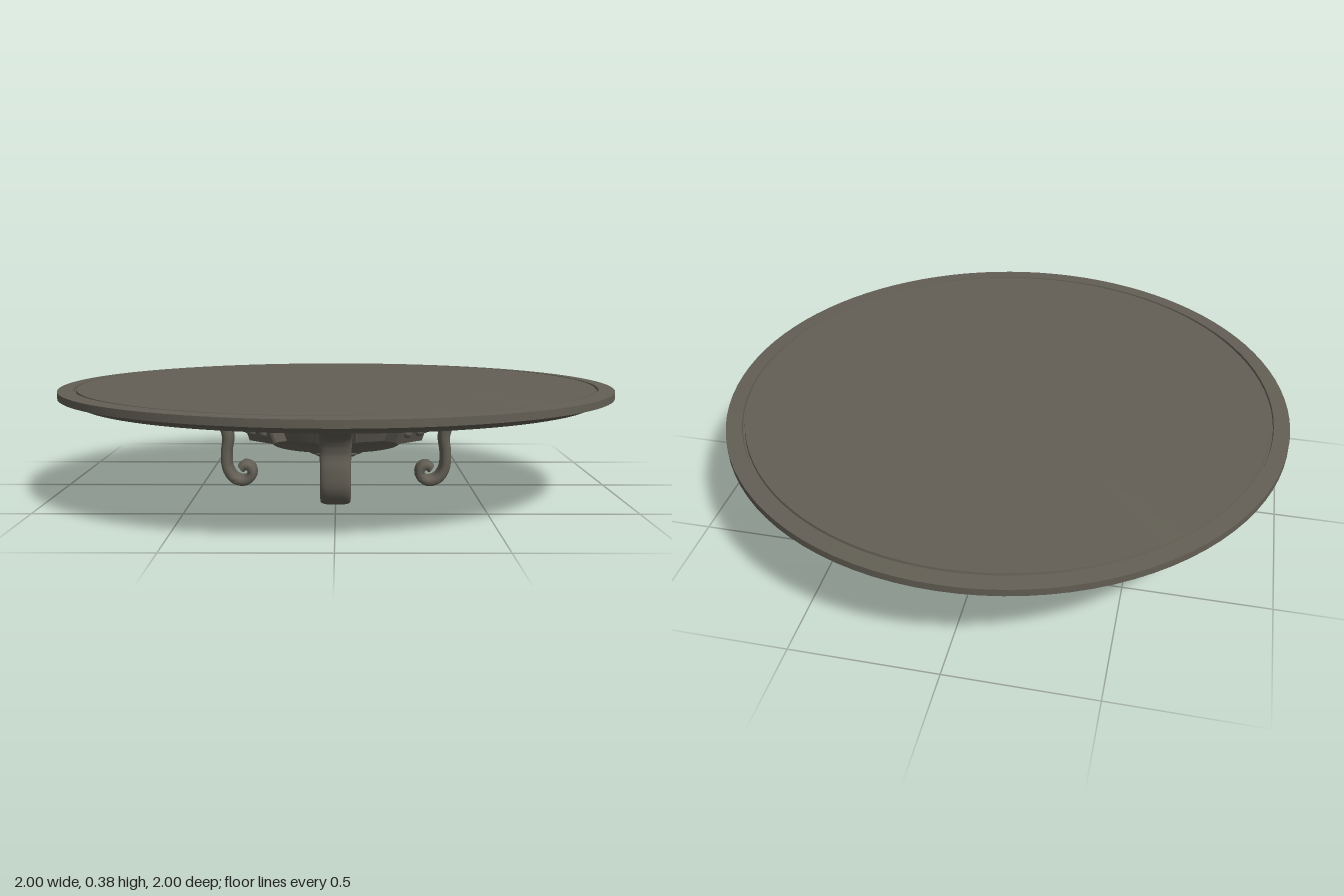
import * as THREE from 'three';
import { toCreasedNormals } from 'three/addons/utils/BufferGeometryUtils.js';

const V2 = (p) => new THREE.Vector2(p[0], p[1]);

// Revolved profile, listed from the underside up
function lathe(points, segments) {
  return toCreasedNormals(new THREE.LatheGeometry(points.map(V2), segments), 0.4);
}

// Side profile extruded to a centred width, with a small bevel
function slab(points, width, bevel) {
  const geo = new THREE.ExtrudeGeometry(new THREE.Shape(points.map(V2)), {
    depth: width - 2 * bevel, bevelEnabled: true, bevelSize: bevel, bevelOffset: -bevel,
    bevelThickness: bevel, bevelSegments: 1,
  });
  return geo.translate(0, 0, -width / 2 + bevel);
}

// Rounded strap swept along a curve in the xy plane, tapering towards the scroll
function scrollLeg(path) {
  const curve = new THREE.CatmullRomCurve3(path.map((p) => new THREE.Vector3(p[0], p[1], 0)));
  const rows = 60, sides = 20, pos = [], index = [];
  const soft = (v) => Math.sign(v) * Math.pow(Math.abs(v), 0.6);
  for (let i = 0; i <= rows; i++) {
    const t = i / rows, p = curve.getPointAt(t), d = curve.getTangentAt(t);
    const halfWidth = 0.062 - 0.01 * Math.min(1, t * 2);
    const halfThick = 0.024 - 0.007 * t;
    for (let j = 0; j < sides; j++) {
      const a = (j / sides) * Math.PI * 2;
      const n = soft(Math.cos(a)) * halfThick, b = soft(Math.sin(a)) * halfWidth;
      pos.push(p.x - d.y * n, p.y + d.x * n, b);
    }
  }
  for (let i = 0; i < rows; i++) {
    for (let j = 0; j < sides; j++) {
      const a = i * sides + j, b = i * sides + ((j + 1) % sides);
      index.push(a, b, a + sides, b, b + sides, a + sides);
    }
  }
  const last = rows * sides;
  for (let j = 1; j < sides - 1; j++) {
    index.push(0, j + 1, j, last, last + j, last + j + 1);
  }
  const geo = new THREE.BufferGeometry();
  geo.setAttribute('position', new THREE.Float32BufferAttribute(pos, 3));
  geo.setIndex(index);
  return toCreasedNormals(geo, 0.8);
}

export function createModel() {
  const model = new THREE.Group();
  model.name = 'lowRoundTable';
  const bronze = new THREE.MeshStandardMaterial({ color: 0x635f55 });
  bronze.name = 'dark bronze';

  const add = (parent, name, geo) => {
    const mesh = new THREE.Mesh(geo, bronze);
    mesh.name = name;
    parent.add(mesh);
    return mesh;
  };

  // Round top with a bevelled edge and a fine groove inside the rim
  add(model, 'tableTop', lathe([
    [0, 0.315], [0.5, 0.318], [0.93, 0.333], [0.94, 0.341], [1, 0.357], [1, 0.382],
    [0.944, 0.385], [0.942, 0.377], [0.936, 0.377], [0.934, 0.385], [0, 0.385],
  ], 96));

  // Stepped bowl under the top
  add(model, 'bowl', lathe([
    [0, 0.137], [0.12, 0.141], [0.235, 0.163], [0.26, 0.19], [0.3, 0.198],
    [0.318, 0.212], [0.35, 0.285], [0.38, 0.297], [0.38, 0.325],
  ], 64));

  // Four scrolled legs on the axes, each with a strap against the bowl
  const legGeo = scrollLeg([
    [0.56, 0.325], [0.49, 0.297], [0.425, 0.25], [0.402, 0.19], [0.408, 0.13],
    [0.404, 0.07], [0.378, 0.032], [0.34, 0.023], [0.313, 0.045], [0.318, 0.073],
    [0.34, 0.082], [0.354, 0.07],
  ]);
  const strapGeo = slab([[0.29, 0.21], [0.33, 0.21], [0.375, 0.29], [0.4, 0.32], [0.3, 0.32]], 0.15, 0.006);
  // Four riveted brackets on the diagonals
  const bracketGeo = slab([
    [0.3, 0.205], [0.365, 0.205], [0.395, 0.272], [0.53, 0.29], [0.54, 0.325], [0.3, 0.325],
  ], 0.14, 0.006);
  const rivetGeo = new THREE.SphereGeometry(0.017, 14, 10);

  for (let k = 0; k < 4; k++) {
    const leg = new THREE.Group();
    leg.name = 'leg';
    leg.rotation.y = (k * Math.PI) / 2;
    add(leg, 'scrollLeg', legGeo);
    add(leg, 'legStrap', strapGeo);

    const bracket = new THREE.Group();
    bracket.name = 'bracket';
    bracket.rotation.y = (k + 0.5) * Math.PI / 2;
    add(bracket, 'bracketBody', bracketGeo);
    for (const side of [-1, 1]) {
      add(bracket, 'rivet', rivetGeo).position.set(0.38, 0.242, side * 0.03);
    }
    model.add(leg, bracket);
  }

  // Flower boss below the bowl
  const flower = new THREE.Group();
  flower.name = 'flowerBoss';
  const petalGeo = new THREE.SphereGeometry(1, 14, 10).scale(0.034, 0.013, 0.025);
  for (let k = 0; k < 8; k++) {
    const a = (k / 8) * Math.PI * 2;
    const petal = add(flower, 'petal', petalGeo);
    petal.position.set(Math.cos(a) * 0.066, 0.132, -Math.sin(a) * 0.066);
    petal.rotation.y = a;
  }
  add(flower, 'flowerDisc', new THREE.CylinderGeometry(0.06, 0.045, 0.02, 24)).position.y = 0.13;
  add(flower, 'flowerCentre', new THREE.SphereGeometry(0.032, 20, 14)).position.y = 0.118;
  model.add(flower);

  return model;
}
